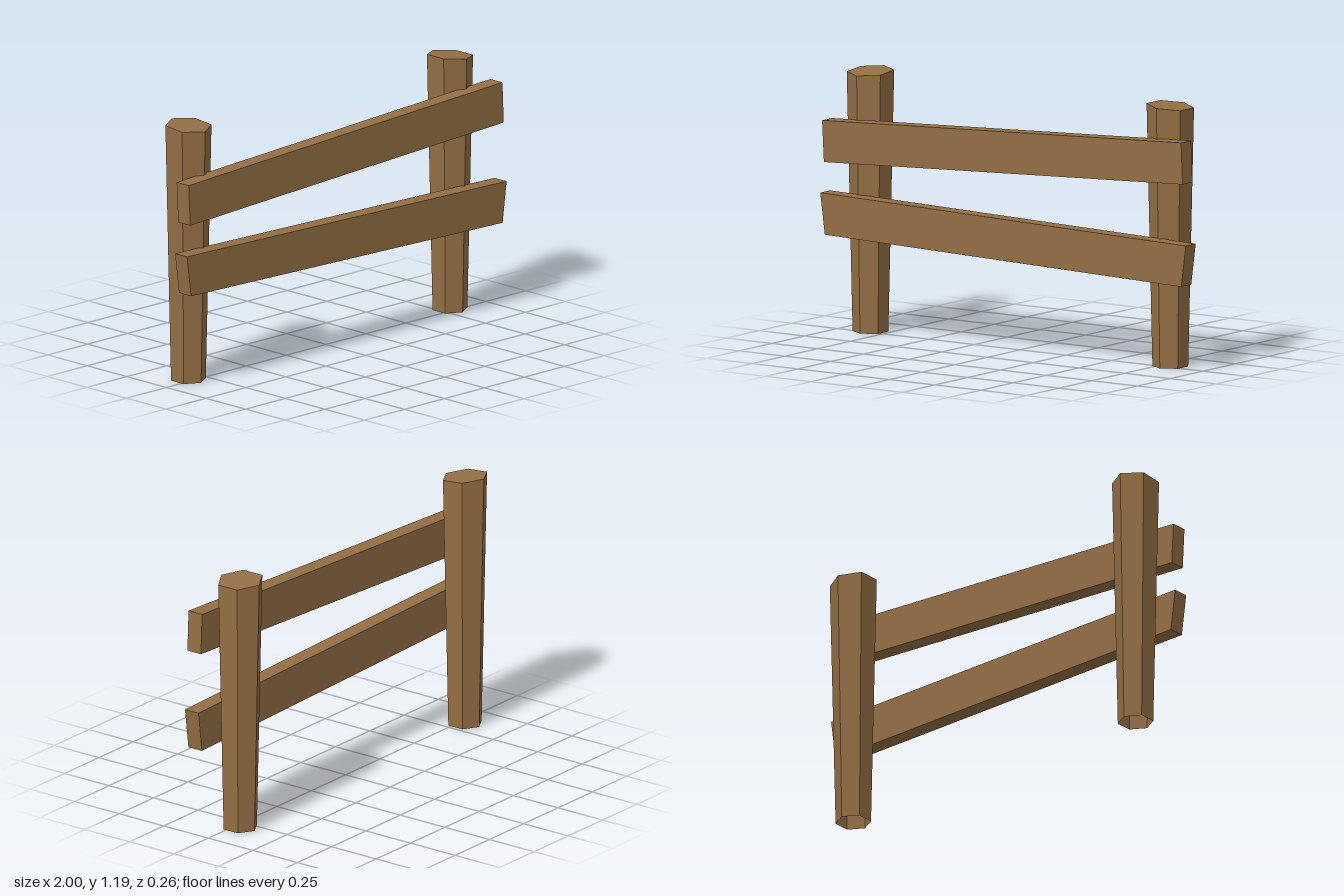
import * as THREE from 'three';

const wood = new THREE.MeshStandardMaterial({ color: 0x946f44, flatShading: true, side: THREE.DoubleSide });
wood.name = 'wood';

// Tapered six-sided post, open underneath, its top cut at a slight slope
function makePost(name, x, z, slopeX, slopeZ) {
  const height = 1.175;
  const geometry = new THREE.CylinderGeometry(0.106, 0.08, height, 6);
  geometry.translate(0, height / 2, 0);
  geometry.setIndex(Array.from(geometry.index.array).slice(0, -18)); // drop the bottom cap
  geometry.clearGroups();
  const p = geometry.attributes.position;
  for (let i = 0; i < p.count; i++) {
    if (p.getY(i) > height / 2) p.setY(i, height + slopeX * p.getX(i) + slopeZ * p.getZ(i));
  }
  geometry.computeVertexNormals();
  const post = new THREE.Mesh(geometry, wood);
  post.name = name;
  post.position.set(x, 0, z);
  return post;
}

// Flat plank from its four front corners
function makeRail(name, corners) {
  const shape = new THREE.Shape(corners.map(([x, y]) => new THREE.Vector2(x, y)));
  const geometry = new THREE.ExtrudeGeometry(shape, { depth: 0.076, bevelEnabled: false });
  const rail = new THREE.Mesh(geometry, wood);
  rail.name = name;
  rail.position.z = 0.055;
  return rail;
}

export function createModel() {
  const fence = new THREE.Group();
  fence.name = 'fence';
  fence.add(
    makePost('rightPost', -0.837, -0.025, 0, -0.095),
    makePost('leftPost', 0.802, -0.027, -0.093, 0),
    makeRail('upperRail', [[-0.98, 0.77], [0.982, 0.857], [0.974, 1.044], [-0.99, 0.957]]),
    makeRail('lowerRail', [[-0.975, 0.443], [0.975, 0.395], [1, 0.582], [-1, 0.63]])
  );
  return fence;
}
